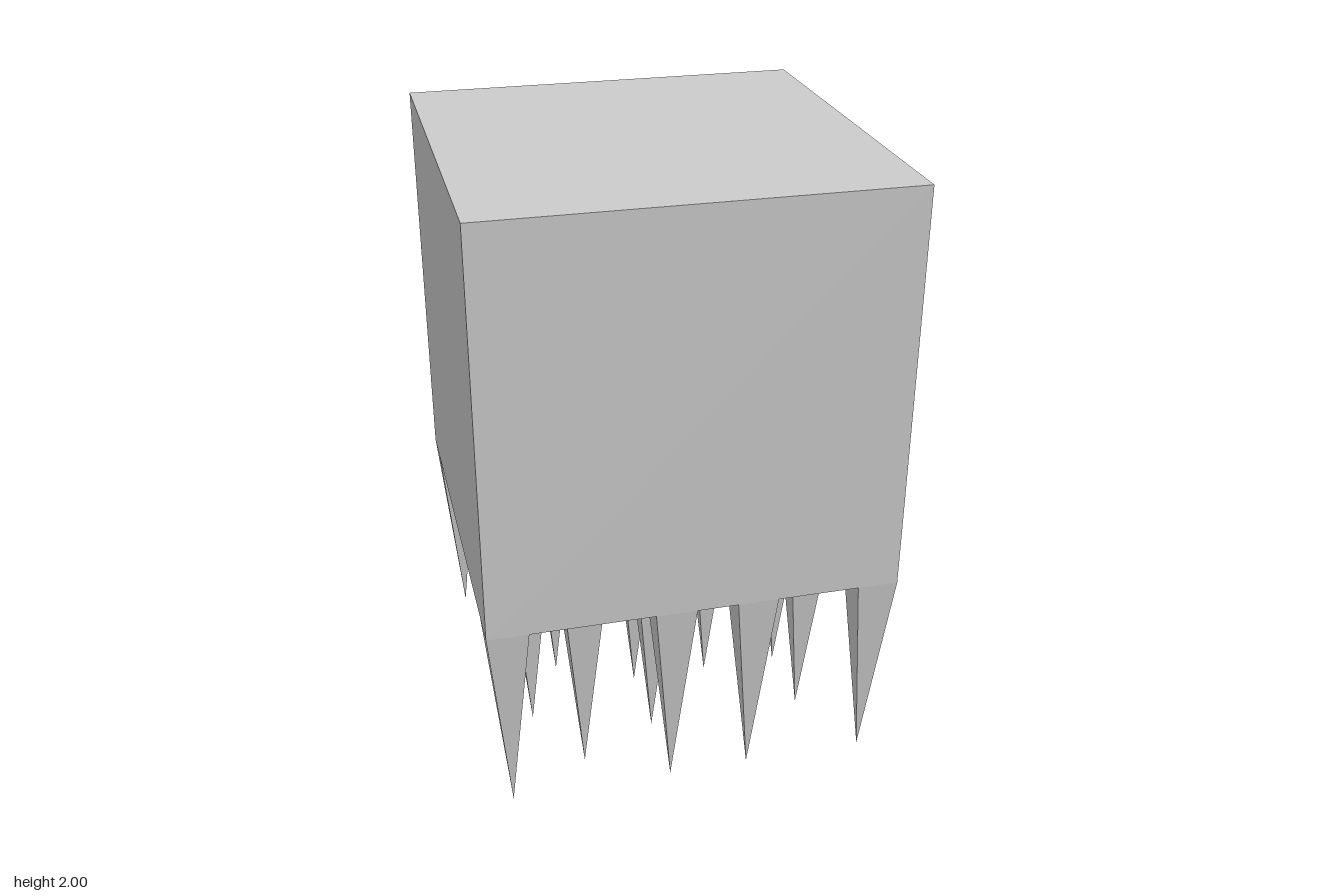
import * as THREE from 'three';

const SIZE = 1.316;           // edge of the cube
const BASE = 0.685;           // height of the cube's underside
const GRID = 10;              // spike cells per side
const CELL = SIZE / GRID;

// Columns (left to right, seen from the front) holding a spike, by row from front to back
const SPIKE_ROWS = [
  [0, 4, 6, 9], [2], [4, 8], [1], [4, 6, 8],
  [2], [8], [1, 4, 6], [9], [0, 3, 5, 7],
];

export function createModel() {
  const model = new THREE.Group();
  const material = new THREE.MeshStandardMaterial({ color: 0xcccccc, flatShading: true });

  // Cube body
  const body = new THREE.Mesh(new THREE.BoxGeometry(SIZE, SIZE, SIZE), material);
  body.name = 'body';
  body.position.y = BASE + SIZE / 2;
  model.add(body);

  // Square pyramid pointing down, sides aligned with the cube
  const spikeGeometry = new THREE.ConeGeometry(CELL / Math.SQRT2, BASE, 4, 1, true);
  spikeGeometry.rotateY(Math.PI / 4).rotateX(Math.PI);

  // Spikes hanging from the underside
  const spikes = new THREE.Group();
  spikes.name = 'spikes';
  SPIKE_ROWS.forEach((columns, row) => {
    for (const column of columns) {
      const spike = new THREE.Mesh(spikeGeometry, material);
      spike.name = 'spike';
      spike.position.set(
        (column + 0.5) * CELL - SIZE / 2,
        BASE / 2,
        SIZE / 2 - (row + 0.5) * CELL,
      );
      spikes.add(spike);
    }
  });
  model.add(spikes);

  return model;
}
